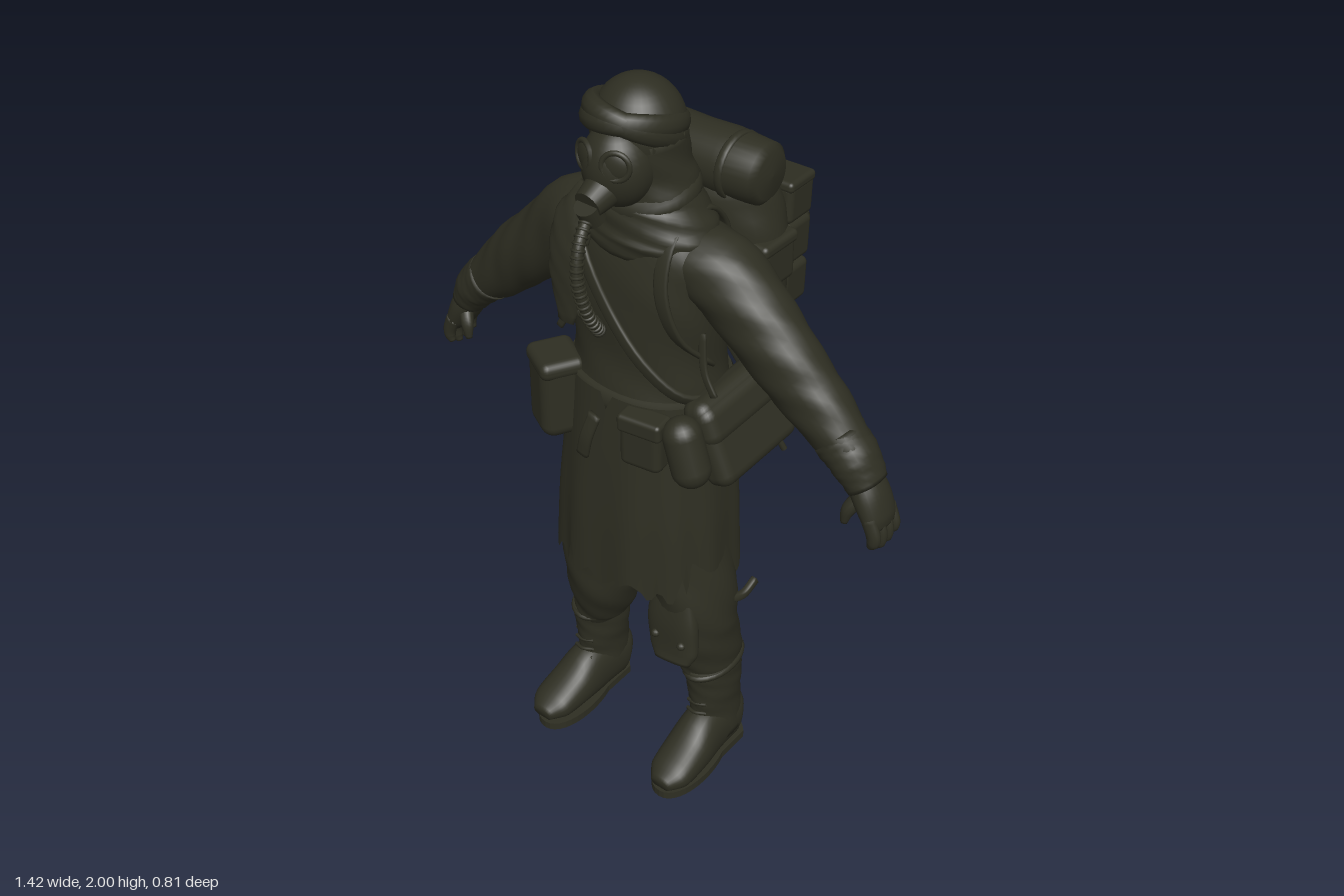
import * as THREE from 'three';
import { RoundedBoxGeometry } from 'three/addons/geometries/RoundedBoxGeometry.js';

const olive = new THREE.MeshStandardMaterial({ color: 0x2e2e22, side: THREE.DoubleSide });
olive.name = 'darkOlive';
const X = new THREE.Vector3(1, 0, 0), Y = new THREE.Vector3(0, 1, 0), Z = new THREE.Vector3(0, 0, 1);

// Smooth body through sections [x, y, z, radius across, radius along ref]
function loft(sections, { ref = Z, sides = 28, rings = sections.length * 4, power = 1, wrinkle = 0, cap = true, move } = {}) {
  const path = new THREE.CatmullRomCurve3(sections.map(s => new THREE.Vector3(s[0], s[1], s[2])));
  const size = new THREE.CatmullRomCurve3(sections.map(s => new THREE.Vector3(s[3], s[4], 0)));
  const pos = [], index = [];
  const bend = c => Math.sign(c) * Math.abs(c) ** power;
  for (let i = 0; i <= rings; i++) {
    const f = i / rings, p = path.getPoint(f), r = size.getPoint(f), t = path.getTangent(f);
    const w = ref.clone().addScaledVector(t, -ref.dot(t)).normalize();
    const u = w.clone().cross(t);
    for (let j = 0; j < sides; j++) {
      const a = j / sides * Math.PI * 2;
      const k = 1 + wrinkle * Math.sin(a * 3 + f * 9) * Math.sin(f * 23 + a * 2);
      const v = p.clone().addScaledVector(u, bend(Math.cos(a)) * r.x * k).addScaledVector(w, bend(Math.sin(a)) * r.y * k);
      if (move) move(v, f, a);
      pos.push(v.x, v.y, v.z);
      if (i < rings) {
        const n = (j + 1) % sides, o = i * sides;
        index.push(o + j, o + n, o + sides + j, o + n, o + sides + n, o + sides + j);
      }
    }
  }
  if (cap) {
    const a = path.getPoint(0), b = path.getPoint(1), m = pos.length / 3, o = rings * sides;
    pos.push(a.x, a.y, a.z, b.x, b.y, b.z);
    for (let j = 0; j < sides; j++) {
      const n = (j + 1) % sides;
      index.push(m, n, j, m + 1, o + j, o + n);
    }
  }
  const g = new THREE.BufferGeometry();
  g.setAttribute('position', new THREE.Float32BufferAttribute(pos, 3));
  g.setIndex(index);
  g.computeVertexNormals();
  return g;
}

export function createModel() {
  const model = new THREE.Group();
  model.name = 'wanderer';
  const add = (name, geometry, p = [0, 0, 0], rot = [0, 0, 0], scale = [1, 1, 1]) => {
    const m = new THREE.Mesh(geometry, olive);
    m.name = name;
    m.position.set(...p); m.rotation.set(...rot); m.scale.set(...scale);
    model.add(m);
    return m;
  };
  const box = (name, size, p, rot, r = 0.02) =>
    add(name, new RoundedBoxGeometry(...size, 3, Math.min(r, Math.min(...size) * 0.45)), p, rot);
  const tube = (name, pts, r) =>
    add(name, new THREE.TubeGeometry(new THREE.CatmullRomCurve3(pts.map(p => new THREE.Vector3(...p))), 32, r, 8));
  const strap = (name, pts, a, b, ref = Z) =>
    add(name, loft(pts.map(p => [...p, a, b]), { ref, sides: 12, power: 0.6 }));

  // Coat and tattered skirt with ripped hem
  add('coat', loft([[0, 0.98, 0.1, 0.22, 0.18], [0, 1.18, 0.1, 0.207, 0.165], [0, 1.3, 0.105, 0.2, 0.145],
    [0, 1.45, 0.11, 0.213, 0.142], [0, 1.57, 0.11, 0.213, 0.13], [0, 1.66, 0.1, 0.17, 0.115],
    [0, 1.73, 0.1, 0.1, 0.1]], { sides: 40, wrinkle: 0.018, power: 0.92 }));
  add('skirt', loft([[0, 1.2, 0.1, 0.212, 0.17], [0, 1.0, 0.1, 0.222, 0.188], [0, 0.82, 0.11, 0.235, 0.192],
    [0, 0.64, 0.115, 0.243, 0.195]], {
    sides: 96, cap: false, power: 0.85,
    move: (v, f, a) => {
      const rip = Math.max(0, Math.sin(a * 9 + 2.6)) ** 6;
      v.y += Math.max(0, f - 0.7) * (0.16 * rip - 0.04 + 0.06 * Math.sin(a * 23));
      const fold = 1 + 0.022 * f * Math.sin(a * 11);
      v.x *= fold; v.z = 0.11 + (v.z - 0.11) * fold;
    },
  }));
  add('belt', loft([[0, 1.15, 0.1, 0.214, 0.174], [0, 1.21, 0.1, 0.212, 0.17]], { sides: 40, rings: 2, power: 0.92 }));
  strap('beltTail', [[-0.03, 1.13, 0.28], [-0.05, 1.06, 0.292], [-0.065, 1.0, 0.29]], 0.018, 0.008);

  // Cowl draped from the jaw to the shoulders
  add('cowl', loft([[0, 1.57, 0.115, 0.17, 0.125], [0, 1.62, 0.11, 0.19, 0.133], [0, 1.67, 0.11, 0.172, 0.128],
    [0, 1.72, 0.11, 0.137, 0.118], [0, 1.79, 0.12, 0.117, 0.105], [0, 1.88, 0.13, 0.112, 0.108]], { wrinkle: 0.03 }));
  add('cowlFold', new THREE.TorusGeometry(0.118, 0.022, 10, 36), [0, 1.715, 0.112], [Math.PI / 2 + 0.2, 0.08, 0], [1, 0.88, 1.4]);
  add('scarfEnd', loft([[-0.09, 1.7, 0.19, 0.045, 0.03], [-0.125, 1.6, 0.24, 0.055, 0.02],
    [-0.13, 1.48, 0.255, 0.05, 0.015], [-0.135, 1.35, 0.255, 0.025, 0.008]], { wrinkle: 0.1 }));

  // Domed headcloth with a wrapped band, low at the back
  add('head', new THREE.SphereGeometry(1, 32, 24), [-0.005, 1.875, 0.13], [0, 0, 0], [0.114, 0.125, 0.113]);
  [[0.3, 0.1, 1.9], [0.42, -0.16, 1.9], [0.48, 0.06, 1.88]].forEach(([tilt, roll, y]) =>
    add('headWrap', new THREE.TorusGeometry(0.1, 0.02, 10, 40), [-0.005, y, 0.142],
      [Math.PI / 2 - tilt, roll, 0], [1, 1.16, 1.4]));

  // Breathing mask with lenses, filter and hose
  add('mask', new THREE.SphereGeometry(1, 28, 20), [0, 1.81, 0.205], [0.1, 0, 0], [0.088, 0.105, 0.09]);
  add('maskSnout', new THREE.CylinderGeometry(0.036, 0.052, 0.09, 24), [0, 1.765, 0.275], [1.9, 0, 0]);
  add('maskFilter', new THREE.CylinderGeometry(0.03, 0.03, 0.05, 20), [0, 1.73, 0.31], [0.5, 0, 0]);
  for (const s of [-1, 1]) {
    add('lensRim', new THREE.TorusGeometry(0.033, 0.007, 8, 28), [s * 0.046, 1.845, 0.272], [-0.1, s * 0.4, 0]);
    add('lens', new THREE.SphereGeometry(0.033, 20, 12), [s * 0.046, 1.845, 0.268], [-0.1, s * 0.4, 0], [1, 1, 0.35]);
  }
  const hose = new THREE.CatmullRomCurve3([[0, 1.73, 0.31], [0.015, 1.68, 0.365], [0.025, 1.6, 0.388], [0.04, 1.5, 0.372],
    [0.03, 1.43, 0.325], [-0.04, 1.4, 0.27], [-0.1, 1.39, 0.24]].map(p => new THREE.Vector3(...p)));
  add('hose', new THREE.TubeGeometry(hose, 48, 0.014, 12));
  for (let i = 0; i < 34; i++) {
    const ring = add('hoseRib', new THREE.TorusGeometry(0.014, 0.004, 6, 14));
    ring.position.copy(hose.getPointAt(i / 33));
    ring.quaternion.setFromUnitVectors(Z, hose.getTangentAt(i / 33));
  }

  for (const s of [-1, 1]) {
    // Sleeves, cuffs and gloved hands
    add('sleeve', loft([[s * 0.1, 1.595, 0.095, 0.06, 0.095], [s * 0.22, 1.54, 0.09, 0.1, 0.098], [s * 0.32, 1.445, 0.085, 0.097, 0.09],
      [s * 0.42, 1.352, 0.08, 0.09, 0.08], [s * 0.5, 1.275, 0.078, 0.08, 0.073], [s * 0.6, 1.185, 0.077, 0.056, 0.06]], { wrinkle: 0.04 }));
    add('cuff', loft([[s * 0.55, 1.228, 0.078, 0.068, 0.068], [s * 0.6, 1.18, 0.078, 0.061, 0.066],
      [s * 0.638, 1.125, 0.077, 0.048, 0.056]], { wrinkle: 0.03 }));
    add('palm', loft([[s * 0.62, 1.15, 0.077, 0.038, 0.046], [s * 0.65, 1.1, 0.077, 0.04, 0.056],
      [s * 0.675, 1.05, 0.077, 0.032, 0.055], [s * 0.685, 1.025, 0.077, 0.02, 0.048]]));
    for (let i = 0; i < 4; i++) {
      const z = 0.036 + i * 0.027, drop = 0.012 * Math.abs(i - 1.6);
      add('finger', loft([[s * 0.672, 1.06, z, 0.021, 0.0155], [s * 0.69, 1.015, z, 0.019, 0.015],
        [s * 0.69, 0.98 + drop, z, 0.017, 0.014], [s * 0.682, 0.963 + drop, z, 0.009, 0.008]], { sides: 12 }));
    }
    add('thumb', loft([[s * 0.64, 1.1, 0.1, 0.022, 0.02], [s * 0.618, 1.065, 0.12, 0.018, 0.017],
      [s * 0.61, 1.025, 0.125, 0.009, 0.009]], { sides: 12 }));

    // Baggy trousers tucked into boots
    const c = s < 0 ? -0.153 : 0.166;
    add('trouserLeg', loft([[s * 0.11, 0.95, 0.11, 0.11, 0.13], [s * 0.135, 0.72, 0.12, 0.105, 0.13], [c, 0.58, 0.125, 0.098, 0.12],
      [c * 1.02, 0.47, 0.115, 0.098, 0.11], [c * 1.1, 0.38, 0.095, 0.084, 0.102], [s * 0.187, 0.32, 0.085, 0.073, 0.098],
      [s * 0.195, 0.27, 0.085, 0.05, 0.08]], { wrinkle: 0.035 }));
    add('bootShaft', loft([[s * 0.198, 0.33, 0.085, 0.064, 0.097], [s * 0.198, 0.25, 0.083, 0.062, 0.09], [s * 0.2, 0.16, 0.077, 0.056, 0.085],
      [s * 0.203, 0.06, 0.08, 0.058, 0.09]], { wrinkle: 0.03 }));
    add('bootFoot', loft([[s * 0.2, 0.07, -0.006, 0.03, 0.05], [s * 0.2, 0.08, 0.03, 0.056, 0.08], [s * 0.203, 0.085, 0.13, 0.06, 0.085],
      [s * 0.208, 0.065, 0.21, 0.065, 0.06], [s * 0.212, 0.047, 0.29, 0.06, 0.04], [s * 0.212, 0.037, 0.333, 0.03, 0.02]],
    { ref: Y, power: 0.9, move: v => { v.y = Math.max(v.y, 0.015); } }));
    const sole = new THREE.Shape();
    sole.moveTo(-0.05, 0.02).quadraticCurveTo(0, -0.04, 0.05, 0.02).lineTo(0.054, 0.12)
      .bezierCurveTo(0.085, 0.22, 0.07, 0.34, 0.01, 0.34).bezierCurveTo(-0.06, 0.34, -0.075, 0.22, -0.054, 0.12).lineTo(-0.05, 0.02);
    add('bootSole', new THREE.ExtrudeGeometry(sole, { depth: 0.022, bevelEnabled: false }), [s * 0.205, 0.022, 0], [Math.PI / 2, 0, 0]);
    add('bootCollar', new THREE.TorusGeometry(0.064, 0.007, 8, 28), [s * 0.196, 0.315, 0.085], [Math.PI / 2 + 0.08, s * 0.1, 0], [1, 1.45, 1.6]);
    for (let i = 0; i < 5; i++)
      tube('bootLace', [[s * 0.2 - 0.03, 0.11 + i * 0.03, 0.168 - i * 0.003], [s * 0.2, 0.115 + i * 0.03, 0.178 - i * 0.004],
        [s * 0.2 + 0.03, 0.12 + i * 0.03, 0.166 - i * 0.003]], 0.005);

    // Pack shoulder straps, lying close to the coat
    strap('shoulderStrap', [[s * 0.13, 1.35, -0.025], [s * 0.13, 1.6, -0.015], [s * 0.13, 1.68, 0.06], [s * 0.13, 1.65, 0.18],
      [s * 0.135, 1.53, 0.225], [s * 0.165, 1.4, 0.205], [s * 0.2, 1.3, 0.12]], 0.007, 0.02, X);
    strap('looseStrap', [[s * 0.2, 1.4, 0.15], [s * 0.215, 1.3, 0.16], [s * 0.245, 1.24, 0.16]], 0.01, 0.006);
  }

  // Knee guard on the left leg
  add('kneeGuard', loft([[0.16, 0.62, 0.205, 0.06, 0.025], [0.165, 0.52, 0.217, 0.078, 0.03], [0.175, 0.44, 0.225, 0.075, 0.026],
    [0.18, 0.405, 0.24, 0.055, 0.018]], { power: 0.75 }));
  for (const x of [0.13, 0.215]) add('kneeRivet', new THREE.SphereGeometry(0.012, 10, 8), [x, 0.48, 0.247]);
  strap('kneeStrap', [[0.245, 0.56, 0.1], [0.262, 0.55, 0.05], [0.265, 0.57, 0.0]], 0.012, 0.01, X);

  // Rounded rucksack with side pockets and bottle
  add('rucksack', loft([[0.025, 1.195, -0.13, 0.06, 0.05], [0.025, 1.225, -0.135, 0.135, 0.095], [0.03, 1.32, -0.135, 0.178, 0.12],
    [0.03, 1.45, -0.135, 0.188, 0.125], [0.03, 1.57, -0.13, 0.175, 0.115], [0.025, 1.66, -0.11, 0.15, 0.1],
    [0.02, 1.7, -0.1, 0.09, 0.06]], { sides: 36, power: 0.92, wrinkle: 0.02 }));
  for (const s of [-1, 1]) {
    box('sidePocket', [0.05, 0.13, 0.13], [0.03 + s * 0.168, 1.465, -0.125], [0, 0, 0], 0.022);
    box('pocketFlap', [0.058, 0.035, 0.135], [0.03 + s * 0.168, 1.52, -0.125], [0, 0, 0], 0.014);
  }
  add('bottle', new THREE.CapsuleGeometry(0.028, 0.07, 6, 16), [0.15, 1.42, -0.225]);

  // Rolled blanket lying on the pack
  const roll = [[0, -0.205], [0.06, -0.2], [0.078, -0.185], [0.086, -0.08], [0.083, 0], [0.085, 0.08], [0.076, 0.18], [0.06, 0.19], [0, 0.192]];
  add('bedroll', new THREE.LatheGeometry(roll.map(p => new THREE.Vector2(...p)), 32), [0, 1.71, -0.098], [0, 0.04, Math.PI / 2]);
  for (const x of [-0.11, 0.11])
    add('bedrollStrap', new THREE.TorusGeometry(0.083, 0.005, 8, 32), [x, 1.71, -0.098], [0, Math.PI / 2, 0], [1, 1, 2.4]);

  // Stacked case hung behind the pack, leaning back slightly
  const lean = [-0.055, 0.07, 0], leanZ = y => -0.318 - (y - 1.4) * 0.055;
  [[1.275, 0.118], [1.4, 0.12], [1.515, 0.11]].forEach(([y, h]) => box('caseTier', [0.285, h, 0.112], [-0.01, y, leanZ(y)], lean, 0.018));
  box('caseLid', [0.288, 0.03, 0.115], [-0.01, 1.565, leanZ(1.565)], lean, 0.012);
  for (const x of [-0.1, 0.08]) box('caseStrap', [0.022, 0.35, 0.12], [x, 1.4, -0.318 - x * 0.07], lean, 0.006);
  tube('caseHandle', [[0.03, 1.45, -0.37], [0.05, 1.445, -0.392], [0.1, 1.445, -0.392], [0.12, 1.45, -0.375]], 0.007);

  // Belt gear: canister pouch, front pouch and satchel
  box('canisterPouch', [0.13, 0.225, 0.115], [-0.185, 1.12, 0.245], [0, -0.5, 0], 0.035);
  box('canisterLid', [0.136, 0.05, 0.12], [-0.185, 1.212, 0.245], [0, -0.5, 0], 0.022);
  box('frontPouch', [0.115, 0.13, 0.06], [0.12, 1.11, 0.272], [0, 0.15, 0]);
  box('frontPouchFlap', [0.122, 0.05, 0.068], [0.12, 1.17, 0.272], [0, 0.15, 0], 0.012);
  box('satchel', [0.085, 0.24, 0.3], [0.25, 1.125, 0.06], [0.06, 0, 0.36], 0.035);
  box('satchelFlap', [0.095, 0.11, 0.31], [0.235, 1.175, 0.06], [0.06, 0, 0.36], 0.035);
  box('satchelPocket', [0.03, 0.09, 0.1], [0.293, 1.085, 0.02], [0.06, 0, 0.36]);
  add('sideFlask', new THREE.CapsuleGeometry(0.05, 0.09, 8, 20), [0.23, 1.12, 0.245], [0, 0, 0.3]);
  tube('satchelTie', [[0.29, 1.08, -0.01], [0.31, 1.04, -0.02], [0.32, 1.01, -0.03]], 0.008);
  strap('satchelStrap', [[-0.15, 1.66, 0.18], [-0.09, 1.58, 0.245], [0, 1.43, 0.255], [0.1, 1.31, 0.245], [0.18, 1.23, 0.2], [0.225, 1.2, 0.1]], 0.018, 0.008);
  strap('satchelStrapBack', [[-0.15, 1.66, 0.05], [-0.05, 1.5, -0.035], [0.1, 1.3, -0.04], [0.23, 1.18, -0.02]], 0.018, 0.008);

  return model;
}
